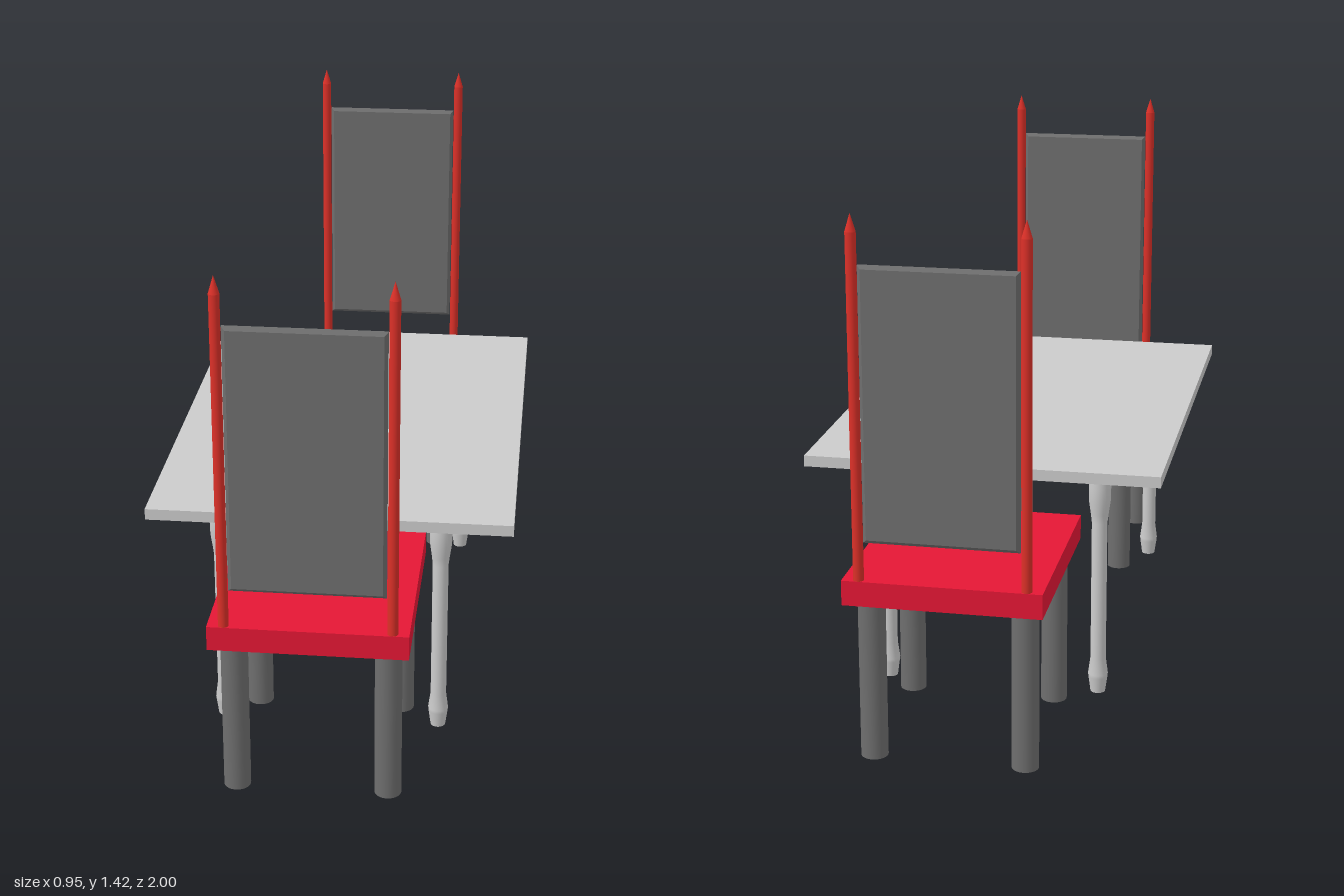
import * as THREE from 'three';

const grey = new THREE.MeshStandardMaterial({ color: 0xcccccc });
const dark = new THREE.MeshStandardMaterial({ color: 0x6e6e6e });
const red = new THREE.MeshStandardMaterial({ color: 0xe51735 });
const postRed = new THREE.MeshStandardMaterial({ color: 0xdc3028 });

function add(parent, name, geometry, material, x, y, z) {
  const mesh = new THREE.Mesh(geometry, material);
  mesh.name = name;
  mesh.position.set(x, y, z);
  parent.add(mesh);
  return mesh;
}

const lathe = (points, sides) =>
  new THREE.LatheGeometry(points.map(([r, y]) => new THREE.Vector2(r, y)), sides);

// Chair facing +z, seat centred on the origin in x and z
function createChair() {
  const chair = new THREE.Group();
  chair.name = 'chair';
  add(chair, 'seat', new THREE.BoxGeometry(0.505, 0.065, 0.577), red, 0, 0.4675, 0);

  // Plain round legs
  const leg = new THREE.CylinderGeometry(0.035, 0.035, 0.435, 24);
  for (const x of [-0.196, 0.196])
    for (const z of [-0.213, 0.205]) add(chair, 'chairLeg', leg, dark, x, 0.2175, z);

  // Back posts with pointed finials
  const post = new THREE.CylinderGeometry(0.0135, 0.0135, 0.875, 20);
  const finial = new THREE.ConeGeometry(0.0135, 0.045, 20);
  for (const x of [-0.211, 0.211]) {
    add(chair, 'backPost', post, postRed, x, 0.9375, -0.275);
    add(chair, 'postFinial', finial, postRed, x, 1.3975, -0.275);
  }

  // Back panel with bevelled edges
  const w = 0.187, h = 0.339;
  const outline = new THREE.Shape([
    new THREE.Vector2(-w, -h), new THREE.Vector2(w, -h),
    new THREE.Vector2(w, h), new THREE.Vector2(-w, h),
  ]);
  const panel = new THREE.ExtrudeGeometry(outline, {
    depth: 0.006, bevelEnabled: true, bevelSegments: 1, bevelSize: 0.009, bevelThickness: 0.008,
  });
  add(chair, 'backPanel', panel, dark, 0, 0.948, -0.278);
  return chair;
}

function createTable() {
  const table = new THREE.Group();
  table.name = 'table';
  add(table, 'tableTop', new THREE.BoxGeometry(0.95, 0.03, 1.32), grey, 0, 0.665, 0.065);

  // Turned legs, swelling at the foot and the top
  const leg = lathe([
    [0, 0.012], [0.02, 0.012], [0.02, 0.012], [0.026, 0.055], [0.027, 0.065], [0.021, 0.11], [0.021, 0.5],
    [0.024, 0.525], [0.029, 0.56], [0.03, 0.6], [0.027, 0.65], [0.027, 0.65], [0, 0.65],
  ], 24);
  for (const x of [-0.298, 0.284])
    for (const z of [-0.465, 0.605]) add(table, 'tableLeg', leg, grey, x, 0, z);
  return table;
}

export function createModel() {
  const model = new THREE.Group();
  model.name = 'diningSet';
  model.add(createTable());

  // Two chairs facing each other across the table
  const rearChair = createChair();
  rearChair.position.set(0.012, 0, -0.7115);
  const frontChair = createChair();
  frontChair.rotation.y = Math.PI;
  frontChair.position.set(-0.02, 0, 0.7115);
  model.add(rearChair, frontChair);
  return model;
}
